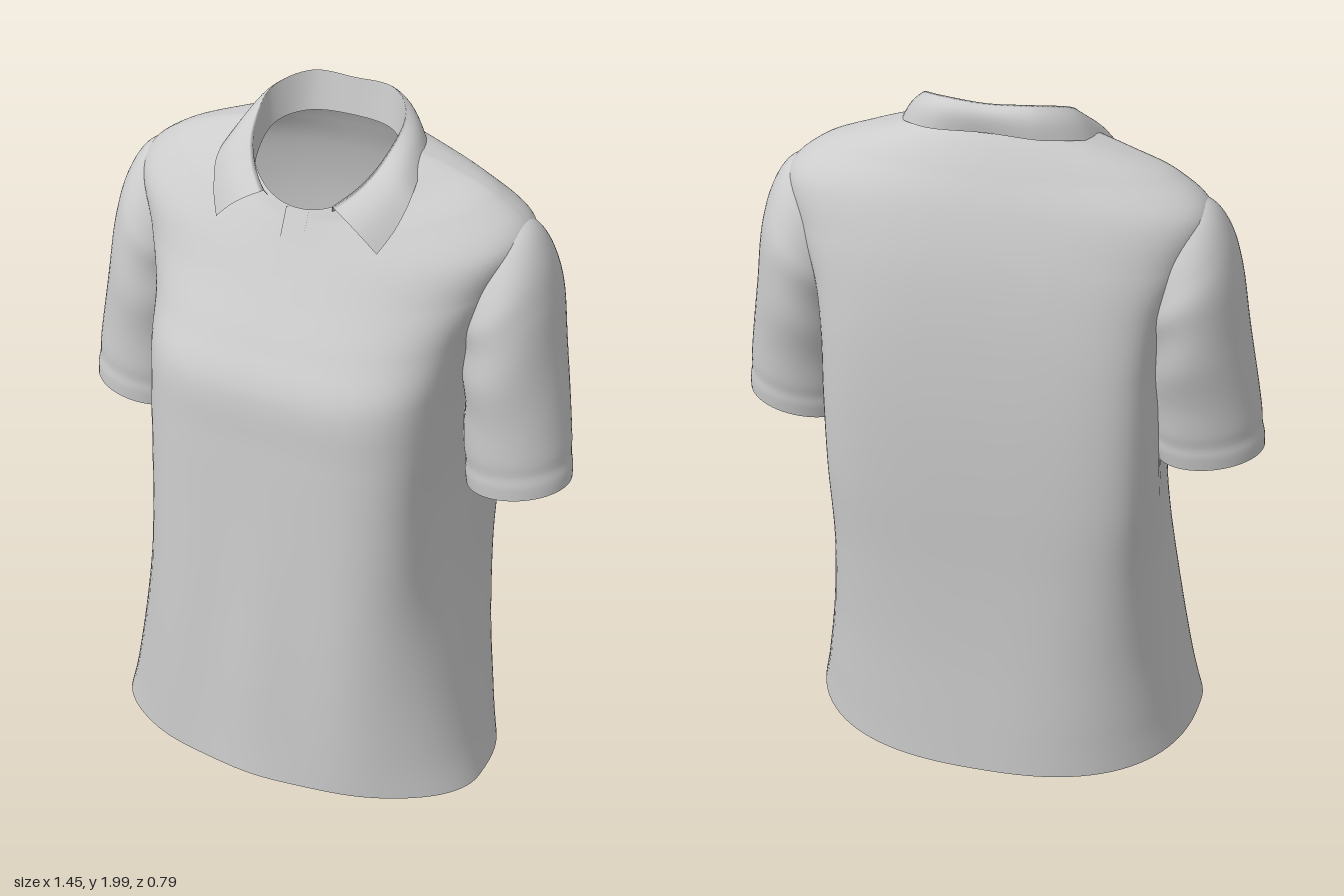
import * as THREE from 'three';
import { ParametricGeometry } from 'three/addons/geometries/ParametricGeometry.js';

const fabric = new THREE.MeshStandardMaterial({ color: 0xcccccc, side: THREE.DoubleSide });
fabric.name = 'light grey fabric';

// Smoothly interpolates between rows of numbers, t from 0 to 1
function sampleRows(rows, t) {
  const f = Math.min(Math.max(t, 0), 1) * (rows.length - 1);
  const i = Math.min(Math.floor(f), rows.length - 2), k = f - i;
  const row = j => rows[Math.min(Math.max(j, 0), rows.length - 1)];
  return rows[0].map((_, c) => {
    const a = row(i - 1)[c], b = row(i)[c], d = row(i + 1)[c], e = row(i + 2)[c];
    const m0 = (d - a) / 2, m1 = (e - b) / 2;
    return b + k * (m0 + k * (3 * (d - b) - 2 * m0 - m1 + k * (2 * (b - d) + m0 + m1)));
  });
}
const bump = (x, centre, width) => Math.exp(-(((x - centre) / width) ** 2));

// Torso rings: y front, y side, y back, half width, z front, z back, z of side, squareness front, back
const torsoRings = [
  [0.085, 0.045, 0.005, 0.56, 0.400, -0.375, 0.07, 1.95, 2.5],
  [0.20, 0.17, 0.14, 0.53, 0.393, -0.373, 0.04, 2.2, 2.7],
  [0.42, 0.40, 0.38, 0.488, 0.382, -0.370, 0.0, 2.6, 3.2],
  [0.66, 0.65, 0.64, 0.458, 0.368, -0.374, -0.06, 3.1, 3.9],
  [0.90, 0.90, 0.90, 0.455, 0.354, -0.384, -0.11, 3.4, 4.5],
  [1.13, 1.13, 1.13, 0.455, 0.342, -0.388, -0.13, 3.5, 4.6],
  [1.30, 1.31, 1.31, 0.455, 0.330, -0.384, -0.14, 3.4, 4.5],
  [1.42, 1.45, 1.46, 0.475, 0.275, -0.374, -0.14, 2.9, 3.8],
  [1.53, 1.58, 1.60, 0.525, 0.213, -0.355, -0.13, 2.4, 3.0],
  [1.63, 1.71, 1.73, 0.565, 0.158, -0.322, -0.12, 2.1, 2.4],
  [1.69, 1.80, 1.82, 0.475, 0.127, -0.285, -0.11, 1.8, 2.0],
  [1.725, 1.855, 1.88, 0.345, 0.110, -0.253, -0.11, 1.7, 2.0],
  [1.75, 1.895, 1.92, 0.212, 0.098, -0.225, -0.10, 2.1, 2.2],
];

function torsoPoint(u, v, target) {
  const [yf, ys, yb, w, zf, zb, zc, nf, nb] = sampleRows(torsoRings, v);
  const a = -u * Math.PI * 2, c = Math.cos(a), s = Math.sin(a);
  const n = s > 0 ? nf : nb;
  const r = (Math.abs(c) ** n + Math.abs(s) ** n) ** (-1 / n);
  const reach = Math.abs(r * s);
  // Draped hollow below the arm and shallow folds across the front
  const y = ys + ((s > 0 ? yf : yb) - ys) * reach ** 1.5;
  const hollow = 0.035 * bump(y, 1.0, 0.35) * bump(Math.atan2(s, Math.abs(c)), 0.38, 0.3);
  const fold = 0.005 * Math.cos(c * 11) * bump(y, 0.45, 0.4) * Math.max(s, 0);
  return target.set(
    (w - hollow) * r * c, y,
    zc + (s > 0 ? zf - zc : zc - zb) * r * s + fold,
  );
}

// Depth of the chest at a given x and y
function chestZ(x, y) {
  const p = new THREE.Vector3();
  let best = Infinity, z = 0;
  for (let i = 0; i <= 80; i++) for (let j = 0; j <= 100; j++) {
    torsoPoint(0.55 + 0.4 * i / 80, 0.45 + 0.55 * j / 100, p);
    const d = (p.x - x) ** 2 + (p.y - y) ** 2;
    if (d < best) { best = d; z = p.z; }
  }
  return z;
}

// Sleeve rings from cuff to shoulder: y outer, y inner, x outer, x inner, z front, z back
const sleeveRings = [
  [1.012, 0.965, 0.725, 0.435, 0.055, -0.205],
  [1.06, 1.015, 0.722, 0.428, 0.058, -0.215],
  [1.20, 1.14, 0.702, 0.420, 0.062, -0.240],
  [1.38, 1.27, 0.672, 0.415, 0.070, -0.275],
  [1.54, 1.38, 0.648, 0.405, 0.066, -0.292],
  [1.65, 1.44, 0.618, 0.390, 0.045, -0.278],
  [1.725, 1.48, 0.572, 0.370, 0.010, -0.250],
  [1.750, 1.50, 0.510, 0.340, -0.02, -0.220],
  [1.745, 1.52, 0.430, 0.300, -0.05, -0.190],
];

function sleevePoint(side) {
  return (u, v, target) => {
    const [yo, yi, xo, xi, zf, zb] = sampleRows(sleeveRings, v);
    const a = -side * u * Math.PI * 2, c = Math.cos(a), s = Math.sin(a);
    const k = (1 + c) / 2;
    // Wrinkles gather on the inner half; a small step marks the cuff hem
    const wrinkle = 0.005 * Math.sin(v * 30 + s * 3) * (1 - k) * bump(v, 0.45, 0.2);
    const hem = -0.003 * bump(v, 0.15, 0.025);
    const grow = 1 + (wrinkle + hem) / 0.14;
    return target.set(
      side * ((xo + xi) / 2 + (xo - xi) / 2 * c * grow), yi + (yo - yi) * k,
      (zf + zb) / 2 + (zf - zb) / 2 * s * grow,
    );
  };
}

// Collar half from centre back to front tip: base, fold and outer edge (x, y, z each)
const collarHalf = [
  [0, 1.885, -0.212, 0, 1.988, -0.225, 0, 1.915, -0.244],
  [0.12, 1.88, -0.195, 0.12, 1.990, -0.210, 0.145, 1.908, -0.238],
  [0.185, 1.86, -0.12, 0.195, 1.958, -0.125, 0.245, 1.885, -0.155],
  [0.185, 1.81, -0.02, 0.190, 1.890, -0.020, 0.282, 1.820, -0.030],
  [0.15, 1.77, 0.050, 0.155, 1.830, 0.050, 0.268, 1.745, 0.055],
  [0.09, 1.752, 0.085, 0.10, 1.780, 0.105, 0.235, 1.680, 0.105],
];

function collarPoint() {
  // Rest the front points just clear of the chest
  const half = collarHalf.map((row, i) => {
    const r = [...row];
    if (i > 2) r[8] = Math.max(r[8], chestZ(r[6], r[7]) + 0.01);
    return r;
  });
  const mirrored = half.slice(1).reverse().map(r => r.map((n, c) => (c % 3 ? n : -n)));
  const rows = [...mirrored, ...half];
  return (u, v, target) => {
    const r = sampleRows(rows, u);
    const from = v < 0.4 ? 0 : 3, k = v < 0.4 ? v / 0.4 : (v - 0.4) / 0.6;
    const at = c => r[from + c] + (r[from + 3 + c] - r[from + c]) * k;
    // The fall bulges a little, forward at the front and backward behind
    const roll = v < 0.4 ? 0 : 0.012 * Math.sin(k * Math.PI);
    return target.set(at(0) * (1 + roll), at(1) + roll, at(2) - roll * Math.cos(u * Math.PI * 2 - Math.PI));
  };
}

// Button placket: a thin strip following the centre line of the chest
function placketPoint(u, v, target) {
  torsoPoint(0.75, 0.585 + 0.41 * v, target);
  target.x = -0.035 + 0.065 * u;
  target.z += 0.003;
  return target;
}

export function createModel() {
  const shirt = new THREE.Group();
  shirt.name = 'poloShirt';
  const add = (name, point, across, along) => {
    const mesh = new THREE.Mesh(new ParametricGeometry(point, across, along), fabric);
    mesh.name = name;
    shirt.add(mesh);
  };
  add('torso', torsoPoint, 120, 90);
  add('leftSleeve', sleevePoint(1), 56, 70);
  add('rightSleeve', sleevePoint(-1), 56, 70);
  add('collar', collarPoint(), 80, 20);
  add('placket', placketPoint, 2, 24);
  return shirt;
}
